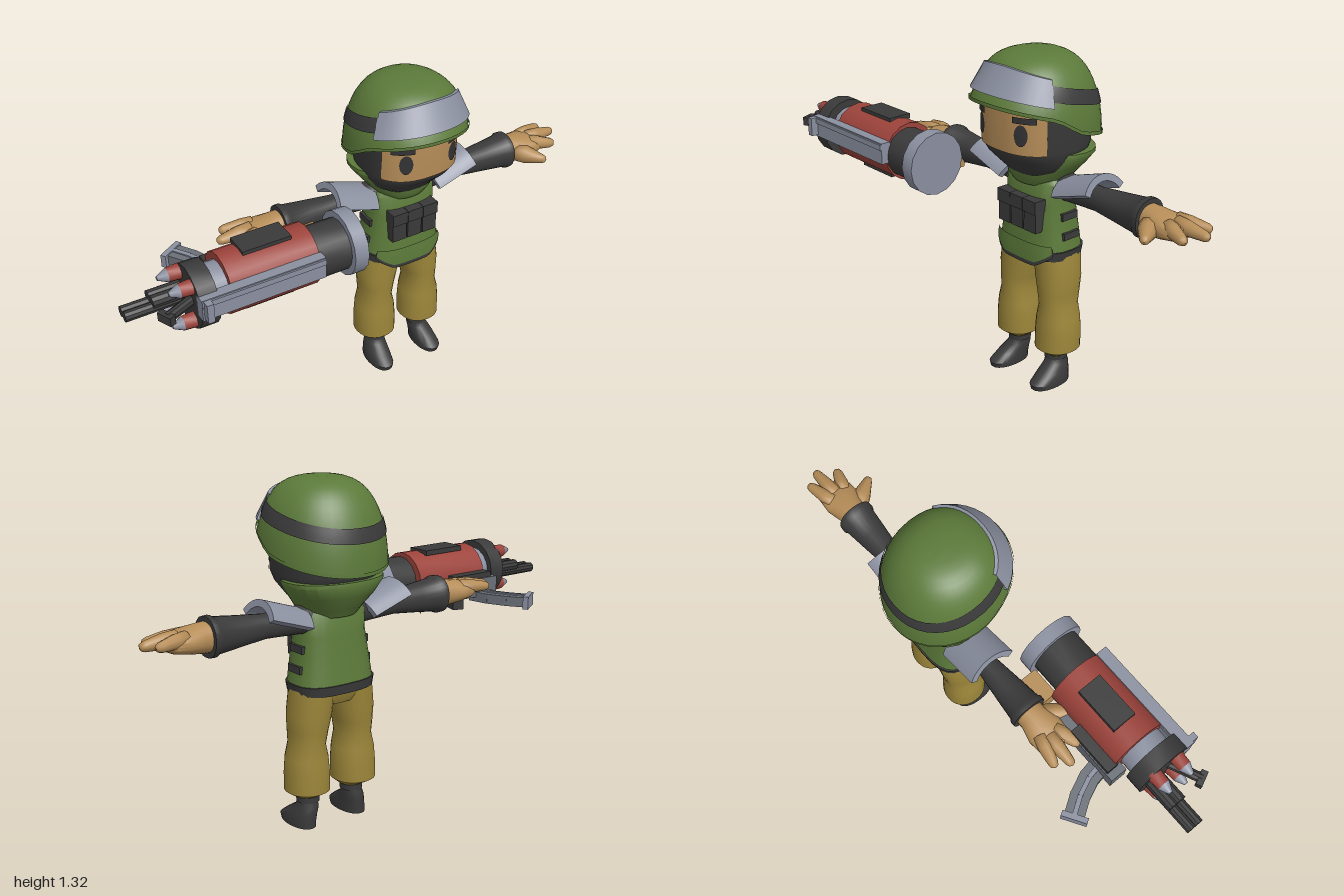
import * as THREE from 'three';
import { toCreasedNormals } from 'three/addons/utils/BufferGeometryUtils.js';

const paint = (name, color) => Object.assign(new THREE.MeshStandardMaterial({ color }), { name });
const MAT = {
  green: paint('armyGreen', 0x5c7a3a), khaki: paint('khaki', 0x9c863a), skin: paint('skin', 0xb68d58),
  dark: paint('charcoal', 0x3a3a3b), grey: paint('steelGrey', 0x8b90a0), red: paint('red', 0x9c433b),
  iron: paint('darkSteel', 0x6b7078),
};
MAT.shell = paint('helmetGreen', 0x5c7a3a);
MAT.shell.side = THREE.DoubleSide;

const add = (parent, name, geo, mat, x = 0, y = 0, z = 0) => {
  const m = new THREE.Mesh(geo, mat);
  m.name = name;
  m.position.set(x, y, z);
  parent.add(m);
  return m;
};
const box = (parent, name, mat, w, h, d, x, y, z) => add(parent, name, new THREE.BoxGeometry(w, h, d), mat, x, y, z);

// Surface grid from a rule point(u, v) => [x, y, z], with u and v in 0..1
function grid(point, nu, nv, crease = 0.75) {
  const pos = [], idx = [];
  for (let j = 0; j <= nv; j++) for (let i = 0; i <= nu; i++) pos.push(...point(i / nu, j / nv));
  for (let j = 0; j < nv; j++) for (let i = 0; i < nu; i++) {
    const a = j * (nu + 1) + i, b = a + 1, c = b + nu + 1, d = a + nu + 1;
    idx.push(a, b, c, a, c, d);
  }
  const g = new THREE.BufferGeometry();
  g.setAttribute('position', new THREE.Float32BufferAttribute(pos, 3));
  g.setIndex(idx);
  return toCreasedNormals(g, crease);
}

const spow = (v, e) => Math.sign(v) * Math.abs(v) ** e;
// Point on a stack of rounded sections [y, rx, rz, cz, cx]
function surface(rings, n = 2.5) {
  return (a, y, s = 1) => {
    let k = 0;
    while (k < rings.length - 2 && y > rings[k + 1][0]) k++;
    const p = rings[k], q = rings[k + 1], t = THREE.MathUtils.clamp((y - p[0]) / (q[0] - p[0]), 0, 1);
    const [rx, rz, cz, cx] = [1, 2, 3, 4].map(i => THREE.MathUtils.lerp(p[i] || 0, q[i] || 0, t));
    return [cx + s * rx * spow(Math.sin(a), 2 / n), y, cz + s * rz * spow(Math.cos(a), 2 / n)];
  };
}
// Closed solid through the sections, capped at both ends
function loft(rings, n = 2.2, seg = 24) {
  const f = surface(rings, n), last = rings.length + 1;
  return grid((u, v) => {
    const k = Math.round(v * last), r = rings[Math.min(Math.max(k - 1, 0), rings.length - 1)];
    return f(u * Math.PI * 2, r[0], k === 0 || k === last ? 1e-5 : 1);
  }, seg, last);
}
// Strip wrapped over a surface between two heights
const wrap = (f, a0, a1, lo, hi, s, nu = 20, nv = 3) => grid((u, v) => {
  const a = a0 + (a1 - a0) * u;
  return f(a, THREE.MathUtils.lerp(lo(a), hi(a), v), s);
}, nu, nv);

// Tapered round-ended limb between two points
function finger(parent, name, p, q, r0, r1) {
  const a = new THREE.Vector3(...p), b = new THREE.Vector3(...q), L = a.distanceTo(b);
  const pts = [[0, 0], [r0, 0.01], [r0, L * 0.4], [r1, L - r1], [r1 * 0.7, L - r1 * 0.3], [0, L]];
  const m = add(parent, name, new THREE.LatheGeometry(pts.map(c => new THREE.Vector2(...c)), 10), MAT.skin, ...p);
  m.quaternion.setFromUnitVectors(new THREE.Vector3(0, 1, 0), b.sub(a).normalize());
}

// Helmet dome with a rim that is high at the brow and low at the nape
const TOP = 1.32;
function rimY(a) {
  const z = -0.052 + 0.243 * Math.cos(a);
  if (z > 0.04) return 1.11 + (z - 0.04) * 0.27;
  if (z > -0.06) return 1.045 + (z + 0.06) * 0.65;
  return 1.045 + (z + 0.06) * 0.255;
}
function dome(a, y, s = 1) {
  const t = THREE.MathUtils.clamp((y - rimY(a)) / (TOP - rimY(a)), 0, 1);
  const r = s * (1 - t * t) ** 0.325 * (1 - 0.1 * Math.max(0, Math.cos(a)) * Math.min(1, t * 3));
  return [0.23 * r * spow(Math.sin(a), 0.95), y, -0.052 + 0.243 * r * spow(Math.cos(a), 0.95)];
}

function buildHead(body) {
  const rings = [[0.85, 0.08, 0.08, -0.06], [0.89, 0.14, 0.115, -0.06], [0.94, 0.175, 0.165, -0.06],
    [0.98, 0.185, 0.188, -0.057], [1.2, 0.185, 0.188, -0.057]];
  const head = surface(rings);
  add(body, 'balaclava', loft(rings, 2.5, 36), MAT.dark);
  add(body, 'face', wrap(head, -1.05, 1.05, () => 0.975, () => 1.16, 1.02), MAT.skin);
  for (const s of [-1, 1]) {
    add(body, 'eye', grid((u, v) => head(s * 0.48 + v * 0.15 * Math.cos(u * Math.PI * 2),
      1.05 + v * 0.04 * Math.sin(u * Math.PI * 2), 1.035), 20, 3).scale(1, 1, 1), MAT.dark).material = MAT.eye;
    const lo = s < 0 ? -0.82 : 0.3;
    add(body, 'eyebrow', wrap(head, lo, lo + 0.52, () => 1.095, () => 1.118, 1.05, 6, 1), MAT.eye);
  }
  // Helmet, its strap and the goggles
  add(body, 'helmet', grid((u, v) => {
    const a = u * Math.PI * 2;
    return dome(a, rimY(a) + (TOP - rimY(a)) * Math.sin(v * Math.PI / 2));
  }, 40, 14, 1.2), MAT.shell);
  add(body, 'helmetRim', grid((u, v) => {
    const a = u * Math.PI * 2, p = dome(a, rimY(a), 1.015);
    return [p[0], p[1] + v * 0.014, p[2]];
  }, 40, 1), MAT.shell);
  const mid = a => 1.2 + 0.23 * (-0.072 + 0.235 * Math.cos(a));
  add(body, 'helmetStrap', wrap(dome, 0, Math.PI * 2, a => mid(a) - 0.027, a => mid(a) + 0.027, 1.02, 40), MAT.dark);
  const edge = [[-0.046, 1], [-0.046, 1.07], [0.046, 1.07], [0.046, 1]];
  add(body, 'goggles', grid((u, v) => {
    const a = -1.12 + 2.24 * u, [dy, s] = edge[Math.round(v * 3)];
    return dome(a, mid(a) + dy, u === 0 || u === 1 ? Math.min(s, 1.06) : s);
  }, 16, 3), MAT.goggles);
  add(body, 'scarf', loft([[0.82, 0.1, 0.1, -0.085], [0.85, 0.125, 0.118, -0.085], [0.9, 0.165, 0.14, -0.1],
    [0.945, 0.2, 0.147, -0.11], [0.96, 0.2, 0.142, -0.112]]), MAT.green);
}

function buildTorso(body) {
  const rings = [[0.555, 0.165, 0.113, -0.09], [0.62, 0.156, 0.107, -0.088], [0.75, 0.138, 0.094, -0.085],
    [0.83, 0.14, 0.088, -0.085], [0.87, 0.1, 0.07, -0.085]];
  const vest = surface(rings, 2.8);
  add(body, 'vest', loft(rings, 2.8), MAT.green);
  add(body, 'vestHem', loft([[0.535, 0.163, 0.112, -0.09], [0.572, 0.169, 0.117, -0.09]], 2.8), MAT.dark);
  const dip = a => 0.515 + 0.045 * Math.max(0, Math.abs(a) - 0.35) / 0.55;
  add(body, 'frontFlapEdge', wrap(vest, -0.95, 0.95, a => dip(a) - 0.004, () => 0.59, 1.06), MAT.dark);
  add(body, 'frontFlap', wrap(vest, -0.9, 0.9, a => dip(a) + 0.012, () => 0.6, 1.08), MAT.green);
  // Chest pouches with flaps
  for (const x of [-0.069, 0, 0.069]) {
    box(body, 'pouch', MAT.dark, 0.063, 0.125, 0.05, x, 0.713, 0.012);
    box(body, 'pouchFlap', MAT.dark, 0.067, 0.05, 0.058, x, 0.752, 0.014);
  }
  for (const s of [-1, 1]) for (const y of [0.63, 0.705])
    box(body, 'sideStrap', MAT.dark, 0.02, 0.028, 0.075, s * (0.152 - (y - 0.63) * 0.13), y, -0.09);
  add(body, 'trouserSeat', loft([[0.49, 0.1, 0.075, -0.092], [0.53, 0.158, 0.095, -0.092],
    [0.56, 0.158, 0.1, -0.092]], 2.6), MAT.khaki);
}

// Leg, arm and shoulder plate of the left side
function buildSide(side) {
  add(side, 'trouserLeg', loft([[0.125, 0.05, 0.05, -0.08, 0.105], [0.15, 0.083, 0.088, -0.086, 0.108],
    [0.22, 0.083, 0.088, -0.086, 0.108], [0.28, 0.078, 0.085, -0.086, 0.108], [0.335, 0.064, 0.08, -0.086, 0.107],
    [0.39, 0.07, 0.086, -0.088, 0.104], [0.45, 0.08, 0.09, -0.09, 0.098], [0.55, 0.08, 0.094, -0.093, 0.085]]), MAT.khaki);
  add(side, 'boot', loft([[0, 0.046, 0.09, -0.04, 0.117], [0.02, 0.048, 0.093, -0.037, 0.117],
    [0.05, 0.045, 0.073, -0.058, 0.113], [0.08, 0.04, 0.05, -0.082, 0.107], [0.105, 0.035, 0.04, -0.083, 0.103],
    [0.14, 0.035, 0.04, -0.083, 0.103]]), MAT.dark);
  add(side, 'bootCuff', loft([[0.1, 0.042, 0.044, -0.083, 0.103], [0.125, 0.042, 0.044, -0.083, 0.103]]), MAT.dark);
  const sleeve = add(side, 'sleeve', loft([[0.08, 0.055, 0.055], [0.18, 0.05, 0.047], [0.29, 0.045, 0.043],
    [0.4, 0.056, 0.056], [0.495, 0.067, 0.066], [0.505, 0.074, 0.073], [0.525, 0.073, 0.072]]), MAT.dark, 0, 0.814, -0.095);
  sleeve.rotation.z = -Math.PI / 2;

  // Curved shoulder plate
  const arc = new THREE.Shape();
  arc.absarc(0, 0, 0.115, 0.55, Math.PI - 0.55, false);
  arc.absarc(0, 0, 0.088, Math.PI - 0.55, 0.55, true);
  const plate = new THREE.ExtrudeGeometry(arc, { depth: 0.18, bevelEnabled: false, curveSegments: 10 });
  plate.rotateY(Math.PI / 2).rotateZ(0.32);
  add(side, 'shoulderPlate', toCreasedNormals(plate, 0.6), MAT.grey, 0.16, 0.745, -0.095);

  // Open hand with spread fingers
  const hand = new THREE.Group();
  hand.name = 'hand';
  side.add(hand);
  const palm = add(hand, 'palm', loft([[0.5, 0.055, 0.055], [0.55, 0.053, 0.056], [0.61, 0.044, 0.072],
    [0.66, 0.034, 0.068], [0.69, 0.02, 0.05]]), MAT.skin, 0, 0.815, -0.095);
  palm.rotation.z = -Math.PI / 2;
  finger(hand, 'littleFinger', [0.61, 0.835, -0.125], [0.745, 0.825, -0.158], 0.027, 0.019);
  finger(hand, 'middleFinger', [0.63, 0.835, -0.1], [0.778, 0.822, -0.103], 0.028, 0.019);
  finger(hand, 'indexFinger', [0.62, 0.83, -0.07], [0.735, 0.812, -0.03], 0.028, 0.02);
  finger(hand, 'thumb', [0.55, 0.81, -0.07], [0.63, 0.805, 0.053], 0.036, 0.018);
}

function buildGun(gun) {
  const Y = 0.825, Z = 0.137;
  const rod = (name, mat, x0, x1, r, y = Y, z = Z, rFar = r, seg = 16) => {
    const g = new THREE.CylinderGeometry(r, rFar, x1 - x0, seg).rotateZ(-Math.PI / 2);
    return add(gun, name, toCreasedNormals(g, 0.6), mat, (x0 + x1) / 2, y, z);
  };
  rod('endCap', MAT.grey, -0.182, -0.125, 0.125);
  rod('rearSleeve', MAT.dark, -0.32, -0.18, 0.1);
  rod('redDrum', MAT.red, -0.655, -0.31, 0.117, Y, 0.125);
  rod('neck', MAT.grey, -0.72, -0.65, 0.09, Y, 0.13);
  rod('frontRing', MAT.dark, -0.78, -0.71, 0.12);
  for (const s of [-1, 1]) box(gun, 'drumPlate', MAT.dark, 0.19, 0.02, 0.1, -0.48, Y + s * 0.114, 0.113);
  // Side rail
  box(gun, 'sideRail', MAT.grey, 0.475, 0.085, 0.04, -0.543, 0.845, 0.245);
  box(gun, 'railLip', MAT.grey, 0.475, 0.022, 0.05, -0.543, 0.872, 0.247);
  box(gun, 'railSight', MAT.grey, 0.025, 0.075, 0.03, -0.762, 0.848, 0.28);
  // Four warheads around the muzzle
  for (const dy of [-0.07, 0.07]) for (const dz of [-0.058, 0.045]) {
    rod('warheadBody', MAT.red, -0.825, -0.77, 0.03, Y + dy, Z + dz, 0.026, 12);
    rod('warheadTip', MAT.grey, -0.862, -0.825, 0.026, Y + dy, Z + dz, 0.008, 12);
  }
  // Twin barrels and a bent side barrel
  for (const z of [0.07, 0.104]) {
    rod('barrel', MAT.dark, -1, -0.75, 0.02, 0.802, z, 0.02, 10);
    rod('barrelSleeve', MAT.dark, -0.9, -0.78, 0.024, 0.825, z, 0.024, 10);
  }
  const bent = rod('sideBarrel', MAT.dark, -0.895, -0.76, 0.02, 0.83, 0.19, 0.02, 10);
  bent.rotation.y = 0.42;
  box(gun, 'sideBarrelSight', MAT.dark, 0.025, 0.035, 0.06, -0.89, 0.83, 0.215).rotation.y = 0.42;
  // Receiver, grip and curved magazine
  box(gun, 'receiver', MAT.iron, 0.34, 0.075, 0.07, -0.52, 0.785, 0.0);
  box(gun, 'receiverTop', MAT.dark, 0.2, 0.03, 0.05, -0.56, 0.83, -0.005);
  box(gun, 'grip', MAT.dark, 0.045, 0.05, 0.11, -0.42, 0.76, -0.06).rotation.y = -0.3;
  const path = [[-0.607, 0], [-0.62, -0.075], [-0.65, -0.145], [-0.695, -0.215]];
  for (let i = 0; i < 3; i++) {
    const [x0, z0] = path[i], [x1, z1] = path[i + 1], dx = x1 - x0, dz = z1 - z0;
    const turn = Math.atan2(dx, dz);
    box(gun, 'magazine', MAT.iron, 0.075, 0.04, Math.hypot(dx, dz) + 0.015, (x0 + x1) / 2, 0.748, (z0 + z1) / 2).rotation.y = turn;
    box(gun, 'magazineRib', MAT.grey, 0.018, 0.05, Math.hypot(dx, dz), (x0 + x1) / 2, 0.748, (z0 + z1) / 2).rotation.y = turn;
  }
  box(gun, 'magazineBase', MAT.grey, 0.1, 0.052, 0.022, -0.697, 0.748, -0.213).rotation.y = 0.56;
  // Wooden stock wedge
  const wedge = new THREE.Shape([[-0.31, -0.01], [-0.19, 0.035], [-0.19, -0.05], [-0.31, 0.005]]
    .slice(0, 2).concat([[-0.19, 0.1], [-0.31, -0.07]]).map(p => new THREE.Vector2(...p)));
  wedge.setFromPoints([[-0.31, 0.0], [-0.19, 0.025], [-0.19, -0.06], [-0.31, -0.06]].map(p => new THREE.Vector2(...p)));
  const stock = new THREE.ExtrudeGeometry(wedge, { depth: 0.07, bevelEnabled: false }).rotateX(-Math.PI / 2);
  add(gun, 'stock', stock, MAT.skin, 0, 0.75, -0.03);
}

MAT.eye = paint('eyeCharcoal', 0x333335);
MAT.goggles = paint('goggleGrey', 0x8b90a0);
MAT.goggles.side = MAT.eye.side = THREE.DoubleSide;

export function createModel() {
  const model = new THREE.Group();
  const part = (name, parent, x = 0) => {
    const g = new THREE.Group();
    g.name = name;
    g.position.x = x;
    parent.add(g);
    return g;
  };
  const body = part('body', model, 0.22);
  buildHead(body);
  buildTorso(body);
  buildSide(part('leftSide', body));
  const right = part('rightSide', body);
  buildSide(right);
  right.scale.x = -1;
  buildGun(part('launcher', model));
  return model;
}
